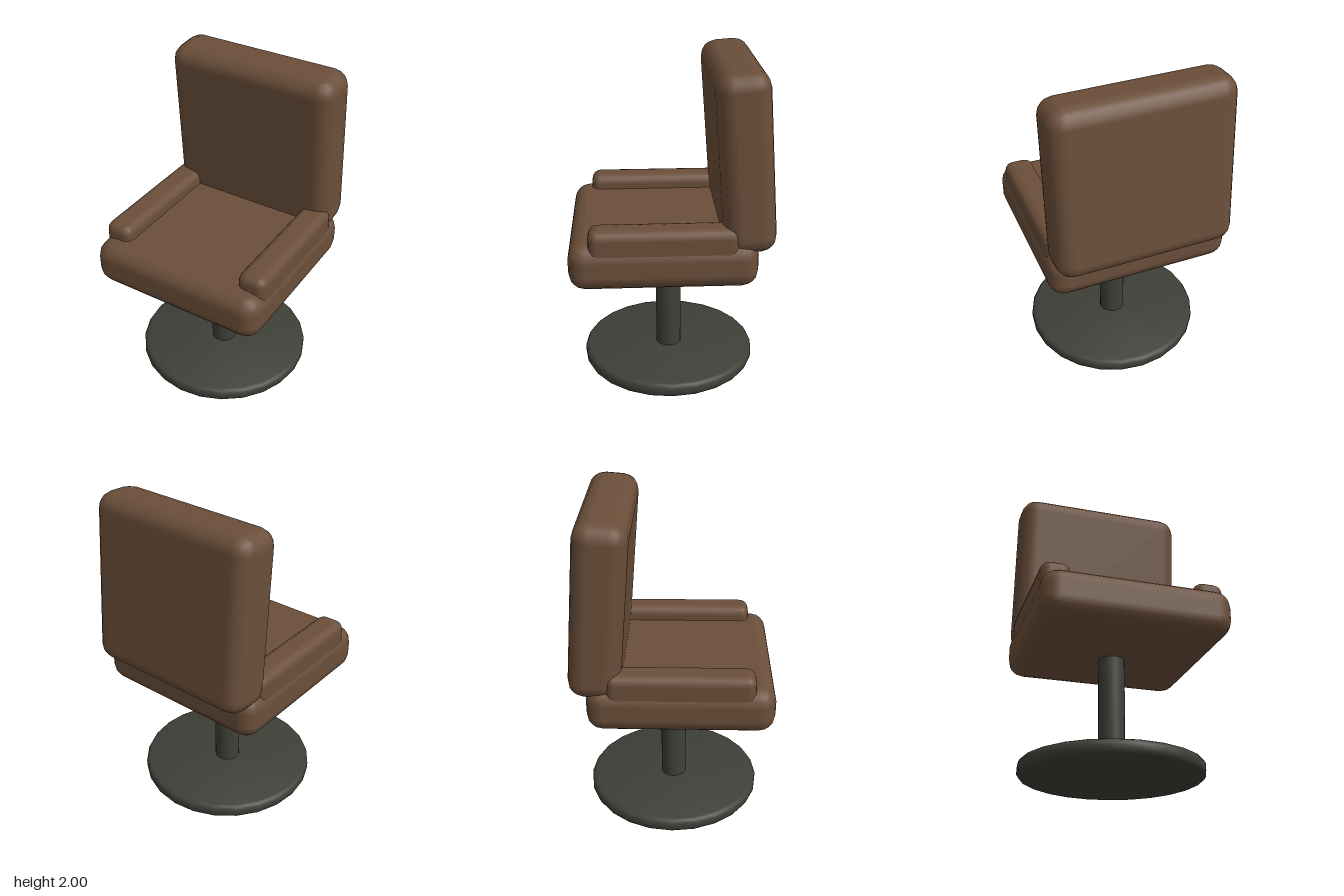
import * as THREE from 'three';
import { RoundedBoxGeometry } from 'three/addons/geometries/RoundedBoxGeometry.js';
import { toCreasedNormals } from 'three/addons/utils/BufferGeometryUtils.js';

const leather = new THREE.MeshStandardMaterial({ color: 0x6b4f3a });
const metal = new THREE.MeshStandardMaterial({ color: 0x3e4038 });

// Padded block with soft edges
function cushion(name, [w, h, d], radius, [x, y, z]) {
  const mesh = new THREE.Mesh(new RoundedBoxGeometry(w, h, d, 2, radius), leather);
  mesh.name = name;
  mesh.position.set(x, y, z);
  return mesh;
}

// Turned metal part from a [radius, height] profile, bottom to top
function turned(name, profile, sides) {
  const points = profile.map(([r, y]) => new THREE.Vector2(r, y));
  const geometry = toCreasedNormals(new THREE.LatheGeometry(points, sides), 0.9);
  const mesh = new THREE.Mesh(geometry, metal);
  mesh.name = name;
  return mesh;
}

export function createModel() {
  const chair = new THREE.Group();
  chair.name = 'swivelChair';

  // Round foot with bevelled rims, and the post
  chair.add(turned('basePlate', [
    [0, 0], [0.52, 0], [0.537, 0.007], [0.547, 0.025],
    [0.547, 0.062], [0.537, 0.08], [0.52, 0.087], [0, 0.087],
  ], 24));
  chair.add(turned('post', [[0, 0.08], [0.08, 0.08], [0.08, 0.76], [0, 0.76]], 20));

  // Seat and the slightly forward-leaning backrest
  chair.add(cushion('seat', [1.13, 0.285, 1.105], 0.1, [0, 0.878, 0.052]));
  const back = cushion('backrest', [1.09, 1.06, 0.307], 0.1, [0, 1.466, -0.415]);
  back.rotation.x = 0.078;
  chair.add(back);

  // Low armrests, sunk into the seat
  for (const [side, name] of [[1, 'leftArmrest'], [-1, 'rightArmrest']]) {
    chair.add(cushion(name, [0.18, 0.2, 0.867], 0.055, [side * 0.465, 1.01, 0.052]));
  }
  return chair;
}
